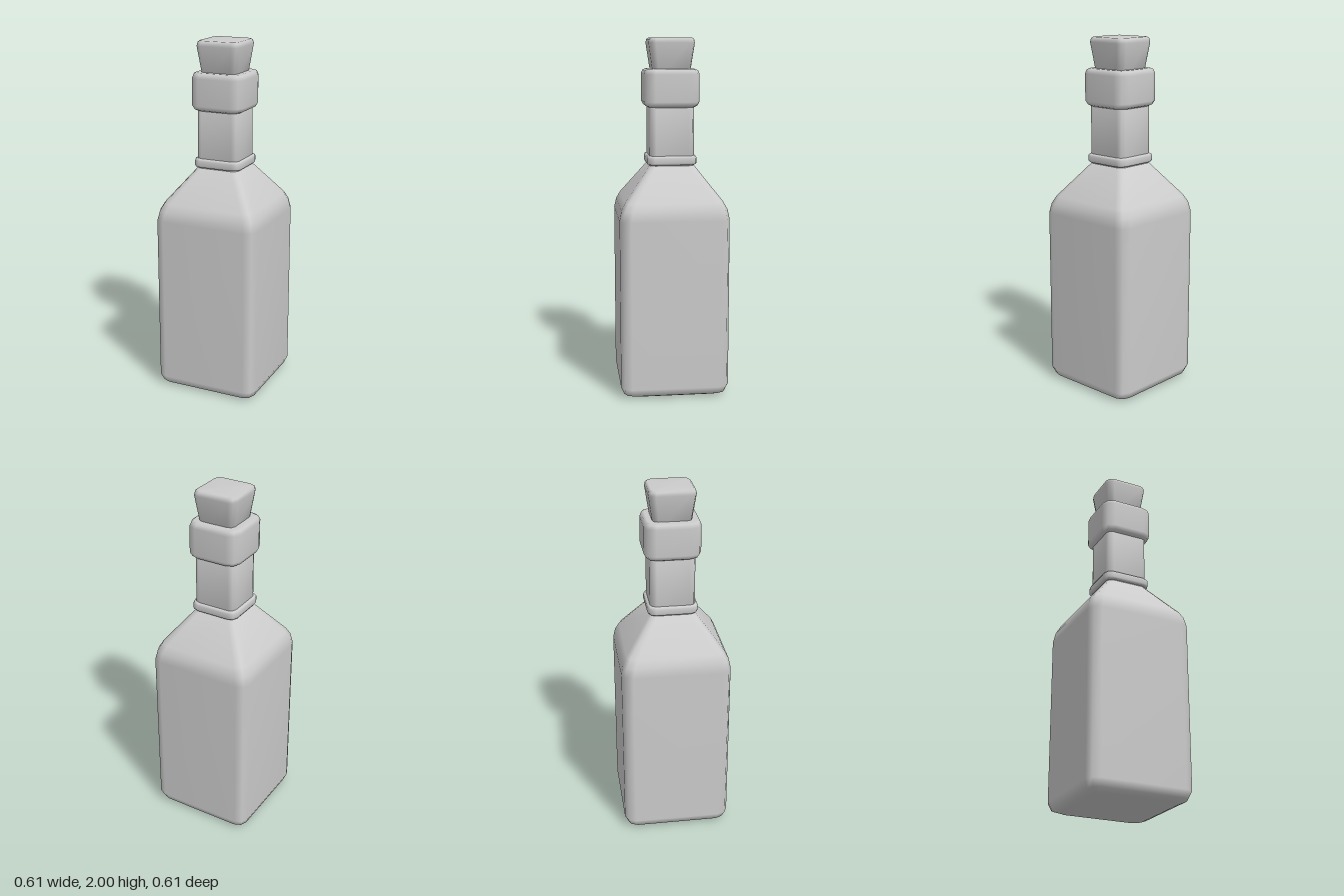
import * as THREE from 'three';

const material = new THREE.MeshStandardMaterial({ color: 0xcccccc });

// Square outline with two-segment rounded corners, in x and z.
function roundedSquare(half, radius) {
  const points = [];
  for (let corner = 0; corner < 4; corner++) {
    const mid = Math.PI / 4 + corner * Math.PI / 2;
    const cx = Math.sign(Math.cos(mid)) * (half - radius);
    const cz = Math.sign(Math.sin(mid)) * (half - radius);
    for (let step = -1; step <= 1; step++) {
      const a = mid + step * Math.PI / 4;
      points.push([cx + radius * Math.cos(a), cz + radius * Math.sin(a)]);
    }
  }
  return points;
}

// Smooth closed loft through rings of [height, half width, corner radius].
function loft(name, rings) {
  const n = 12, positions = [], index = [];
  for (const [y, half, radius] of rings) {
    for (const [x, z] of roundedSquare(half, radius)) positions.push(x, y, z);
  }
  for (let i = 0; i < rings.length - 1; i++) {
    for (let j = 0; j < n; j++) {
      const a = i * n + j, b = i * n + (j + 1) % n;
      index.push(a, a + n, b, b, a + n, b + n);
    }
  }
  // End caps, each a fan around a centre point
  const last = (rings.length - 1) * n, bottom = rings.length * n, top = bottom + 1;
  positions.push(0, rings[0][0], 0, 0, rings[rings.length - 1][0], 0);
  for (let j = 0; j < n; j++) {
    const k = (j + 1) % n;
    index.push(bottom, j, k, top, last + k, last + j);
  }
  const geometry = new THREE.BufferGeometry();
  geometry.setAttribute('position', new THREE.Float32BufferAttribute(positions, 3));
  geometry.setIndex(index);
  geometry.computeVertexNormals();
  const mesh = new THREE.Mesh(geometry, material);
  mesh.name = name;
  return mesh;
}

export function createModel() {
  const bottle = new THREE.Group();
  bottle.name = 'bottle';
  bottle.add(
    // Square body with rounded base and sloping shoulders
    loft('body', [
      [0, 0.245, 0.045], [0.018, 0.287, 0.055], [0.06, 0.305, 0.06],
      [1.01, 0.305, 0.06], [1.065, 0.294, 0.06], [1.107, 0.272, 0.055],
      [1.3, 0.122, 0.035],
    ]),
    loft('neck', [[1.28, 0.125, 0.035], [1.66, 0.125, 0.035]]),
    // Thin band where the neck meets the shoulders
    loft('neckBand', [
      [1.298, 0.12, 0.035], [1.303, 0.135, 0.04], [1.312, 0.14, 0.042],
      [1.338, 0.14, 0.042], [1.348, 0.135, 0.04], [1.353, 0.12, 0.035],
    ]),
    // Thick lip at the mouth
    loft('lip', [
      [1.617, 0.122, 0.04], [1.627, 0.143, 0.055], [1.65, 0.155, 0.06],
      [1.8, 0.155, 0.06], [1.822, 0.147, 0.056], [1.829, 0.132, 0.045],
    ]),
    // Tapered stopper
    loft('stopper', [
      [1.78, 0.1, 0.03], [1.972, 0.128, 0.037], [1.992, 0.124, 0.036], [2, 0.113, 0.03],
    ]),
  );
  return bottle;
}
